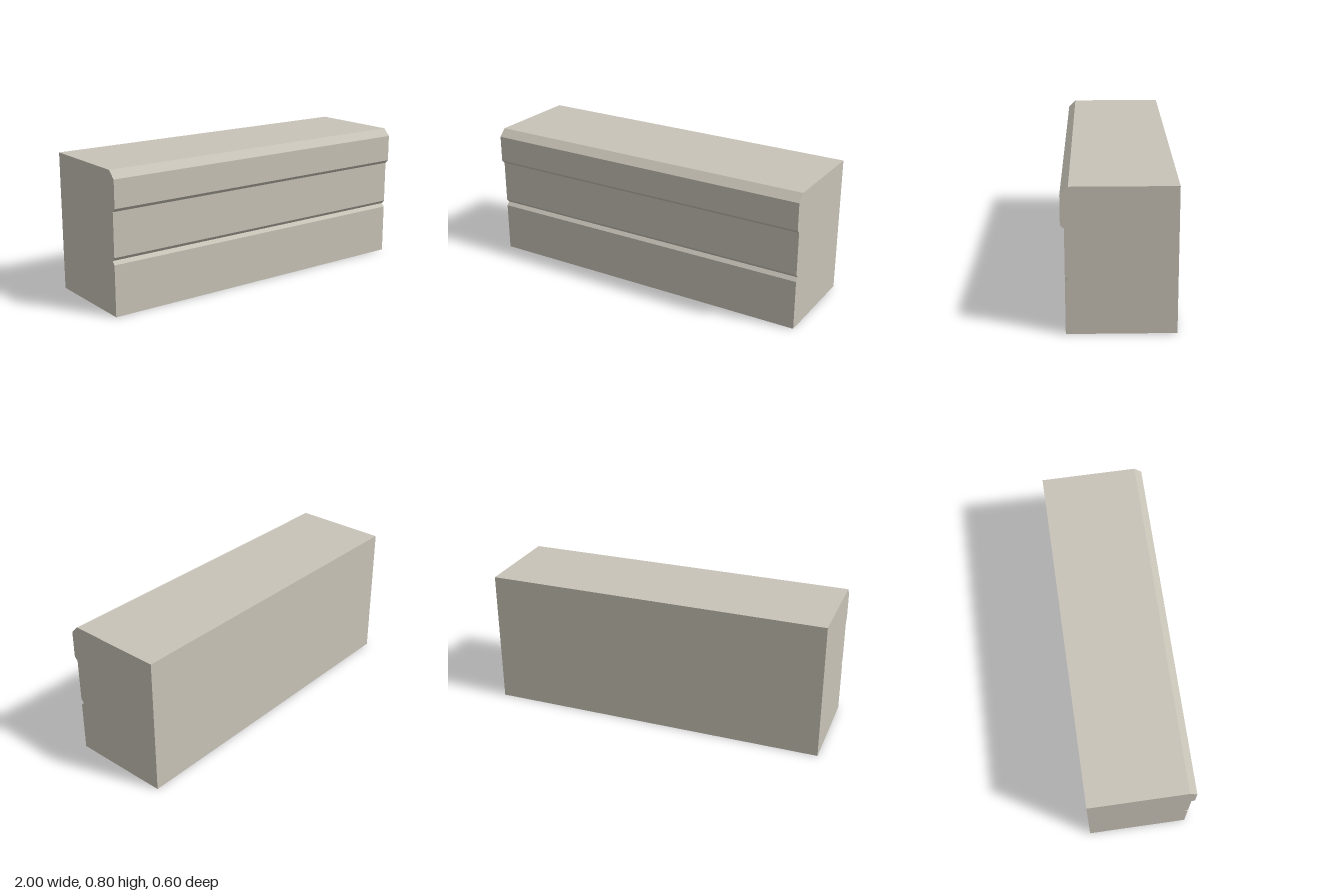
import * as THREE from 'three';

export function createModel() {
  const group = new THREE.Group();
  group.name = 'kerbBlock';

  const stone = new THREE.MeshStandardMaterial({ color: 0xc8c3b7, flatShading: true });
  stone.name = 'paleStone';

  // Cross-section as [z, y]: chamfered top lip, recessed face with a V groove
  const profile = [
    [-0.3, 0], [0.28, 0],
    [0.28, 0.29], [0.262, 0.31], [0.28, 0.33],
    [0.28, 0.58], [0.3, 0.6],
    [0.3, 0.757], [0.257, 0.8], [-0.3, 0.8],
  ];
  const shape = new THREE.Shape(profile.map(([z, y]) => new THREE.Vector2(z, y)));

  // Extrude along the length, centre it, and turn the section to face +z
  const length = 2;
  const geometry = new THREE.ExtrudeGeometry(shape, { depth: length, bevelEnabled: false });
  geometry.translate(0, 0, -length / 2);
  geometry.rotateY(-Math.PI / 2);

  const block = new THREE.Mesh(geometry, stone);
  block.name = 'mouldedBlock';
  group.add(block);
  return group;
}
